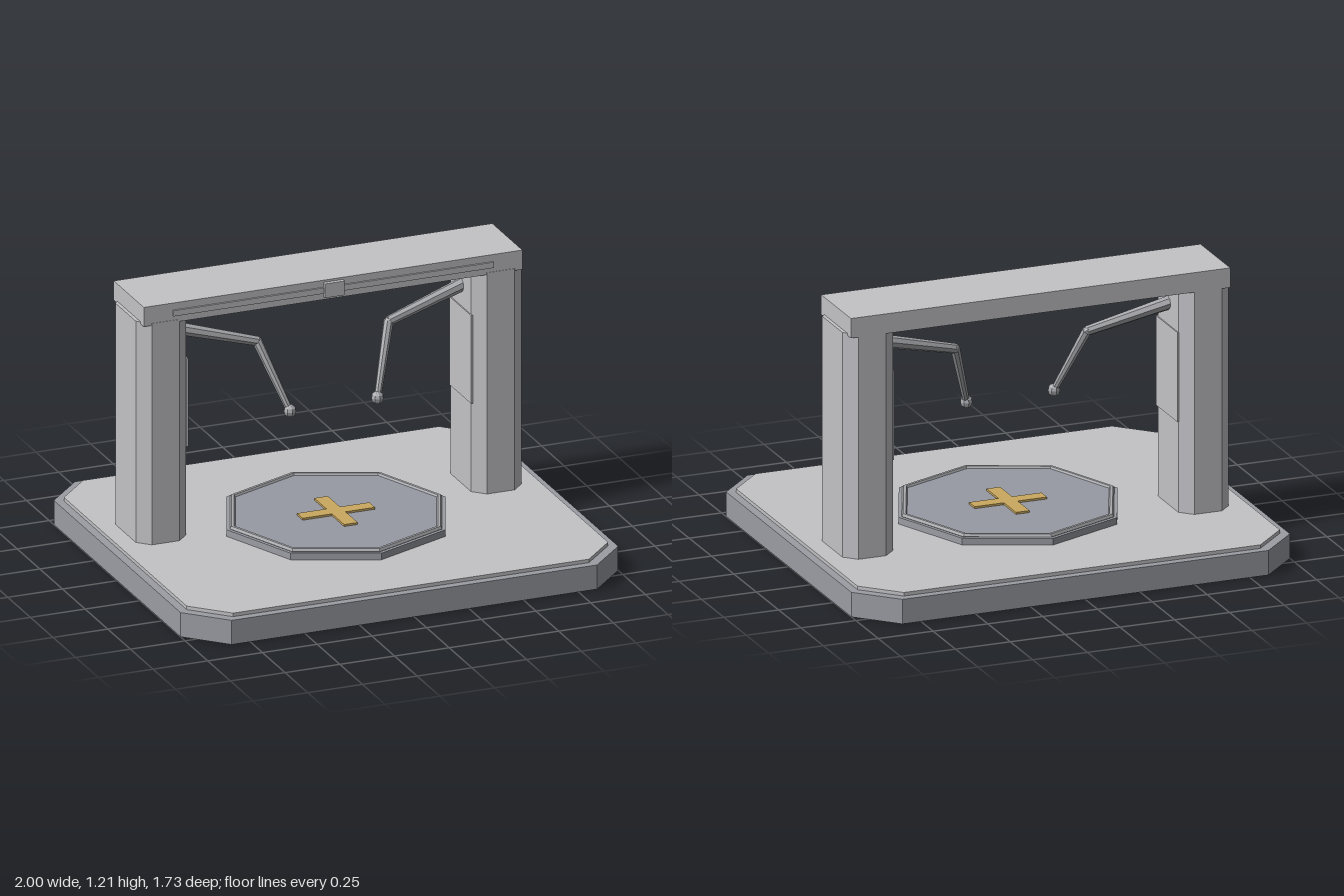
import * as THREE from 'three';

const material = (name, color) => {
  const m = new THREE.MeshStandardMaterial({ color });
  m.name = name;
  return m;
};

export function createModel() {
  const root = new THREE.Group();
  const light = material('light grey', 0xc3c3c7);
  const mid = material('mid grey', 0x9b9da4);
  const slate = material('slate grey', 0x979aa4);
  const steel = material('steel grey', 0xa9aaae);
  const gold = material('gold', 0xcaa95f);

  const add = (name, geometry, mat, x = 0, y = 0, z = 0, parent = root) => {
    const mesh = new THREE.Mesh(geometry, mat);
    mesh.name = name;
    mesh.position.set(x, y, z);
    parent.add(mesh);
    return mesh;
  };
  const flat = (g) => {
    const f = g.index ? g.toNonIndexed() : g;
    f.computeVertexNormals();
    return f;
  };
  const box = (w, h, d) => new THREE.BoxGeometry(w, h, d);

  // Upright prism with four cut corners, standing on y = 0
  const chamferedPrism = (w, h, d, c) => {
    const x = w / 2, z = d / 2;
    const shape = new THREE.Shape([
      [x, -z + c], [x, z - c], [x - c, z], [-x + c, z],
      [-x, z - c], [-x, -z + c], [-x + c, -z], [x - c, -z],
    ].map(([a, b]) => new THREE.Vector2(a, b)));
    return new THREE.ExtrudeGeometry(shape, { depth: h, bevelEnabled: false }).rotateX(-Math.PI / 2);
  };

  // Tapered low-poly rod between two points
  const rod = (name, a, b, ra, rb, parent) => {
    const dir = b.clone().sub(a);
    const mesh = add(name, flat(new THREE.CylinderGeometry(rb, ra, dir.length(), 8)), steel, 0, 0, 0, parent);
    mesh.position.copy(a).add(b).multiplyScalar(0.5);
    mesh.quaternion.setFromUnitVectors(new THREE.Vector3(0, 1, 0), dir.normalize());
  };

  // Base
  add('base', chamferedPrism(2, 0.11, 1.73, 0.165), mid);
  add('deck', chamferedPrism(1.926, 0.016, 1.656, 0.15), light, 0, 0.11, 0);

  // Octagonal platform with raised rim and cross
  add('platform', flat(new THREE.CylinderGeometry(0.5, 0.5, 0.03, 8)), mid, 0, 0.141, 0);
  add('platformFloor', flat(new THREE.CylinderGeometry(0.465, 0.465, 0.008, 8)), slate, 0, 0.156, 0);
  add('platformRim', flat(new THREE.TorusGeometry(0.472, 0.013, 6, 8).rotateX(-Math.PI / 2)), steel, 0, 0.158, 0);
  add('crossBar', box(0.33, 0.01, 0.062), gold, 0, 0.164, 0);
  for (const s of [-1, 1]) add('crossArm', box(0.062, 0.01, 0.134), gold, 0, 0.164, s * 0.098);

  // Columns, inner panels and jointed arms, mirrored
  for (const s of [-1, 1]) {
    const side = new THREE.Group();
    side.name = s > 0 ? 'leftSide' : 'rightSide';
    root.add(side);
    add('column', chamferedPrism(0.23, 1.005, 0.33, 0.052), light, s * 0.766, 0.125, -0.195, side);
    add('innerPanel', box(0.008, 0.4, 0.24), light, s * 0.65, 0.73, -0.19, side);

    const shoulder = new THREE.Vector3(s * 0.67, 1.03, -0.195);
    const elbow = new THREE.Vector3(s * 0.3, 0.93, -0.145);
    const tip = new THREE.Vector3(s * 0.2, 0.642, -0.025);
    rod('upperArm', shoulder, elbow, 0.03, 0.022, side);
    rod('lowerArm', elbow, tip, 0.022, 0.015, side);
    add('elbow', flat(new THREE.IcosahedronGeometry(0.023, 0)), steel, elbow.x, elbow.y, elbow.z, side);
    add('armTip', flat(new THREE.SphereGeometry(0.028, 8, 6)), steel, tip.x, tip.y, tip.z, side);
  }

  // Overhead beam with front rail and carriage
  add('beam', box(1.73, 0.088, 0.332), light, 0, 1.164, -0.198);
  add('rail', box(1.464, 0.026, 0.012), light, 0, 1.163, -0.03);
  add('carriage', box(0.09, 0.064, 0.022), light, 0, 1.166, -0.024);

  return root;
}
